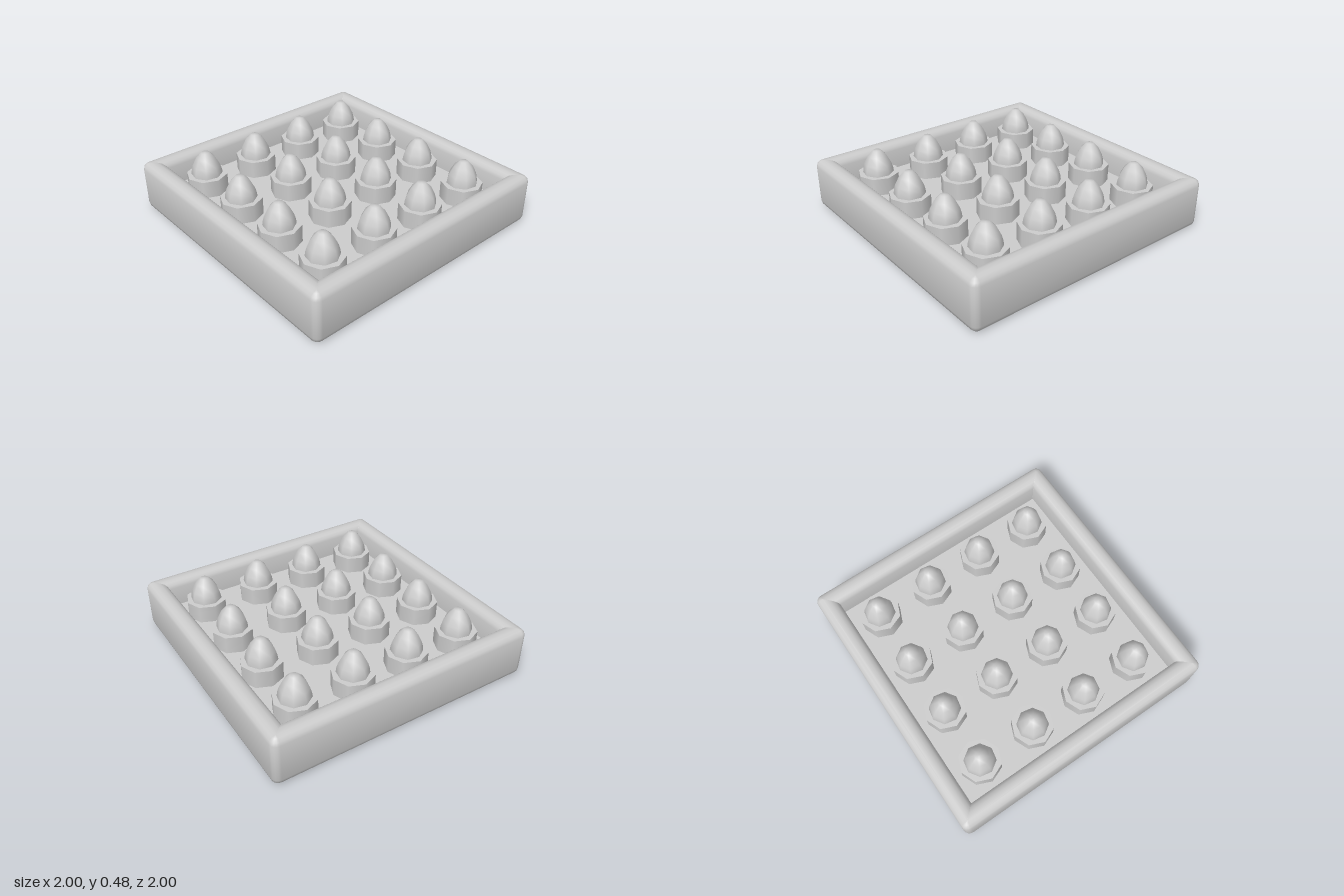
import * as THREE from 'three';

const FLOOR = 0.18, CUP_TOP = 0.31, TOP = 0.38, OUTER = 1, INNER = 0.863, BEVEL = 0.05;

// Tray wall: a rounded-square outline swept through a rounded profile
function trayWall() {
  const pos = [], nor = [], index = [];
  const corners = [[1, 1], [-1, 1], [-1, -1], [1, -1]];
  const n = corners.length * 5;

  const ring = (half, radius, y, tilt) => {
    const r = Math.max(radius, 0.001), c = half - r;
    corners.forEach(([sx, sz], k) => {
      for (let i = 0; i <= 4; i++) {
        const a = (k + i / 4) * Math.PI / 2;
        pos.push(sx * c + r * Math.cos(a), y, sz * c + r * Math.sin(a));
        nor.push(Math.cos(a) * Math.cos(tilt), Math.sin(tilt), Math.sin(a) * Math.cos(tilt));
      }
    });
  };

  // Quarter-round edge; normals blend softly into the flat sides
  const bevel = (from, cx, cy, outside) => {
    for (let i = 0; i <= 3; i++) {
      const a = from + (i / 3) * Math.PI / 2;
      const half = cx + BEVEL * Math.cos(a);
      const tilt = from + (1 / 8 + i / 4) * Math.PI / 2;
      ring(half, outside ? half - (OUTER - BEVEL) : 0, cy + BEVEL * Math.sin(a), tilt);
    }
  };
  bevel(-Math.PI / 2, OUTER - BEVEL, BEVEL, true);
  bevel(0, OUTER - BEVEL, TOP - BEVEL, true);
  bevel(Math.PI / 2, INNER + BEVEL, TOP - BEVEL, false);
  ring(INNER, 0, FLOOR, Math.PI);

  for (let i = 0; i < pos.length / 3 / n - 1; i++) {
    for (let j = 0; j < n; j++) {
      const a = i * n + j, b = i * n + (j + 1) % n;
      index.push(a, a + n, b, b, a + n, b + n);
    }
  }
  const geo = new THREE.BufferGeometry();
  geo.setAttribute('position', new THREE.Float32BufferAttribute(pos, 3));
  geo.setAttribute('normal', new THREE.Float32BufferAttribute(nor, 3));
  geo.setIndex(index);
  return geo;
}

export function createModel() {
  const model = new THREE.Group();
  model.name = 'eggTray';
  const material = new THREE.MeshStandardMaterial({ color: 0xcccccc });

  const add = (parent, name, geo, y = 0) => {
    const mesh = new THREE.Mesh(geo, material);
    mesh.name = name;
    mesh.position.y = y;
    parent.add(mesh);
    return mesh;
  };

  // Tray shell with its floor and underside
  add(model, 'trayWall', trayWall());
  const base = 2 * (OUTER - BEVEL);
  add(model, 'trayUnderside', new THREE.PlaneGeometry(base, base)).rotation.x = Math.PI / 2;
  add(model, 'trayFloor', new THREE.PlaneGeometry(2 * INNER, 2 * INNER), FLOOR).rotation.x = -Math.PI / 2;

  // Four by four tapered eggs, each in an octagonal cup
  const cupHeight = CUP_TOP - FLOOR;
  const cupGeo = new THREE.CylinderGeometry(0.15, 0.15, cupHeight, 8);
  const eggProfile = [[0.112, 0.28], [0.113, 0.31], [0.108, 0.345], [0.098, 0.38], [0.068, 0.44], [0.03, 0.48], [0, 0.482]];
  const eggGeo = new THREE.LatheGeometry(eggProfile.map(([r, y]) => new THREE.Vector2(r, y)), 8);
  eggGeo.rotateY(0.2);

  const spots = [-0.655, -0.218, 0.218, 0.655];
  for (const x of spots) {
    for (const z of spots) {
      const holder = new THREE.Group();
      holder.name = 'eggHolder';
      holder.position.set(x, 0, z);
      add(holder, 'cup', cupGeo, FLOOR + cupHeight / 2);
      add(holder, 'egg', eggGeo);
      model.add(holder);
    }
  }
  return model;
}
